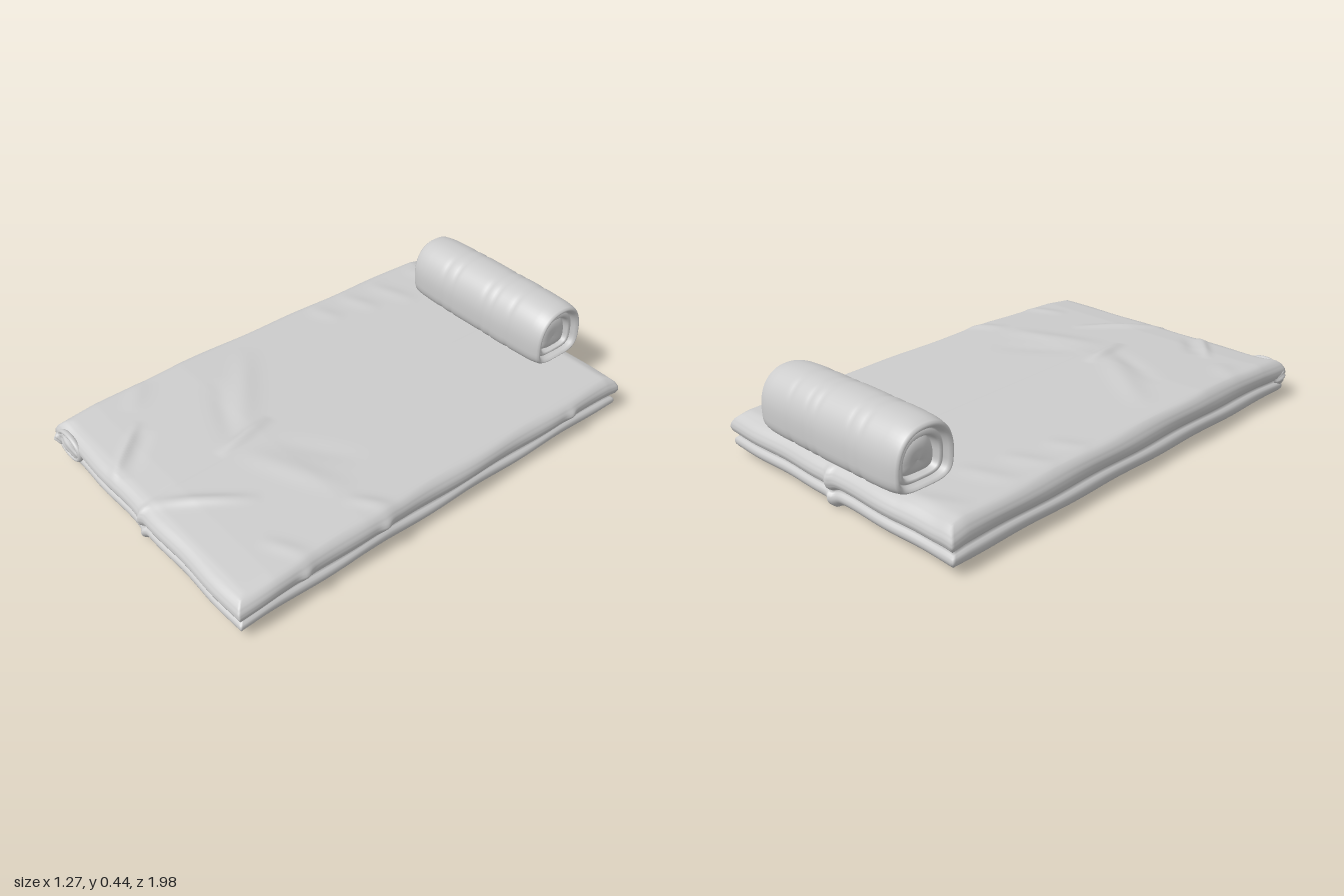
import * as THREE from 'three';
import { mergeVertices } from 'three/addons/utils/BufferGeometryUtils.js';

const fabric = new THREE.MeshStandardMaterial({ color: 0xcccccc });
fabric.name = 'greyFabric';

const bump = (v, centre, width) => Math.exp(-(((v - centre) / width) ** 2));

// Piecewise linear lookup through [key, value] pairs
function lookup(points, k) {
  if (k <= points[0][0]) return points[0][1];
  for (let i = 1; i < points.length; i++) {
    const [a, va] = points[i - 1], [b, vb] = points[i];
    if (k <= b) return va + (vb - va) * (k - a) / (b - a);
  }
  return points[points.length - 1][1];
}

// Fabric folds on the top: x1, z1, x2, z2, width, height
const folds = [
  [-0.52, 0.12, -0.05, 0.46, 0.05, 0.008],
  [-0.42, 0.34, -0.03, 0.52, 0.04, -0.006],
  [-0.07, 0.32, -0.02, 0.60, 0.025, 0.015],
  [0.00, 0.53, 0.46, 0.34, 0.05, 0.008],
  [0.02, 0.42, 0.36, 0.18, 0.05, -0.005],
  [0.46, 0.39, 0.64, 0.26, 0.03, 0.008],
  [-0.39, 0.72, -0.18, 0.97, 0.018, 0.013],
  [-0.32, 0.72, -0.15, 0.92, 0.03, -0.008],
  [0.27, 0.61, 0.00, 0.95, 0.025, 0.012],
  [0.42, 0.74, 0.62, 0.64, 0.03, 0.006],
  [-0.58, -0.84, -0.34, -0.94, 0.04, 0.006],
  [-0.58, -0.61, -0.32, -0.70, 0.04, 0.006],
  [-0.59, -0.44, -0.38, -0.53, 0.04, 0.006],
  [-0.59, -0.27, -0.42, -0.35, 0.04, 0.005],
  [-0.59, 0.58, -0.46, 0.72, 0.04, 0.005],
];

// Each fold fades out towards its two ends
function foldHeight(x, z) {
  let h = 0;
  for (const [x1, z1, x2, z2, width, height] of folds) {
    const dx = x2 - x1, dz = z2 - z1;
    const t = THREE.MathUtils.clamp(((x - x1) * dx + (z - z1) * dz) / (dx * dx + dz * dz), 0, 1);
    h += height * Math.sin(Math.PI * t) * bump(Math.hypot(x - x1 - t * dx, z - z1 - t * dz), 0, width);
  }
  return h;
}

// Mattress: a fine box whose sides swell into two padded layers
function makeMattress() {
  const halfX = 0.61, halfZ = 0.955;
  const sideProfile = [
    [0, -0.02], [0.08, -0.006], [0.17, 0.003], [0.25, 0.005], [0.33, 0.002], [0.375, -0.006], [0.417, -0.014],
    [0.46, -0.006], [0.54, 0.006], [0.67, 0.013], [0.79, 0.011], [0.92, 0], [1, -0.016],
  ];
  const topProfile = [[-0.97, 0.165], [-0.9, 0.18], [-0.6, 0.185], [0, 0.192], [0.4, 0.197], [0.8, 0.183], [0.97, 0.165]];
  let geo = new THREE.BoxGeometry(2, 1, 2, 120, 24, 180);
  geo.deleteAttribute('uv');
  geo.deleteAttribute('normal');
  geo = mergeVertices(geo);
  const pos = geo.attributes.position;
  for (let i = 0; i < pos.count; i++) {
    const u = pos.getX(i), t = pos.getY(i) + 0.5, w = pos.getZ(i);
    const out = lookup(sideProfile, t);
    let x = u * (halfX + out), z = w * (halfZ + out);
    // Stitched tuck in the middle of the ends, soft side ripples and puckers on the left
    if (Math.abs(w) > 0.999) z += Math.sign(w) * (0.012 * bump(x, 0.01, 0.012) + 0.003 * Math.sin(x * 17));
    if (Math.abs(u) > 0.999) x += Math.sign(u) * 0.003 * Math.sin(z * 13 + t * 4);
    if (u > 0.999) for (const p of [-0.67, 0.32, 0.68]) x += 0.012 * bump(z, p, 0.025) * bump(t, 0.68, 0.15);
    if (u < 0) x -= 0.008 * -u * (1 - w) / 2;
    if (w < 0) z -= 0.008 * w * w * (1 - u) / 2;
    const edge = Math.min(1, (1 - Math.abs(u)) / 0.04, (1 - Math.abs(w)) / 0.03);
    const top = lookup(topProfile, z) + foldHeight(x, z) - 0.006 * (1 - edge)
      + 0.008 * bump(x, -0.59, 0.05) - 0.002 * bump(x, 0, 0.008);
    // The underside has a centre seam that hangs lowest at both ends
    const bottom = 0.02 - 0.006 * edge - 0.004 * bump(x, 0, 0.012) - 0.014 * bump(x, 0, 0.025) * bump(Math.abs(w), 1, 0.02)
      + 0.003 * Math.sin(x * 6) * Math.sin(z * 9) * edge;
    pos.setXYZ(i, x, bottom + (top - bottom) * t, z);
  }
  geo.computeVertexNormals();
  return new THREE.Mesh(geo, fabric);
}

// Bolster: arched section lofted along x, with sunken end panels
function makeBolster() {
  const sides = 56;
  const end = [[0.335, 0.01], [0.337, 0.25], [0.336, 0.44], [0.326, 0.5], [0.324, 0.54], [0.345, 0.57],
    [0.352, 0.63], [0.345, 0.7], [0.343, 0.73], [0.36, 0.77], [0.371, 0.83], [0.37, 0.88], [0.362, 0.92], [0.34, 0.955]];
  const stations = end.map(([x, s]) => [-x, s]);
  for (let i = 0; i <= 64; i++) {
    const x = -0.32 + i * 0.01;
    const creases = 0.022 * (bump(x, -0.2, 0.012) + bump(x, -0.14, 0.01) + bump(x, 0.04, 0.012)
      + bump(x, 0.09, 0.01) + bump(x, 0.19, 0.012));
    stations.push([x, 1.005 - 0.03 * (x / 0.32) ** 4 - creases]);
  }
  stations.push(...end.slice().reverse());
  const verts = [], index = [];
  stations.forEach(([x, s], row) => {
    for (let k = 0; k < sides; k++) {
      const a = k / sides * Math.PI * 2, c = Math.cos(a), d = Math.sin(a);
      const p = d > 0 ? 0.88 : 0.55;
      const z = 0.138 * Math.sign(c) * Math.abs(c) ** p;
      const y = (d > 0 ? 0.16 : 0.1) * Math.sign(d) * Math.abs(d) ** p;
      const ripple = s > 0.9 ? 0.003 * Math.sin(x * 23 + a * 2) : 0;
      const lean = x < -0.3 ? -0.02 * THREE.MathUtils.smoothstep(-x, 0.3, 0.36) * (0.7 + y * 3) : 0;
      verts.push(x + lean, 0.277 + y * (s + ripple), -0.855 + z * (s + ripple));
      if (row) {
        const k2 = (k + 1) % sides, p0 = (row - 1) * sides, p1 = row * sides;
        index.push(p0 + k, p1 + k, p0 + k2, p0 + k2, p1 + k, p1 + k2);
      }
    }
  });
  const geo = new THREE.BufferGeometry();
  geo.setAttribute('position', new THREE.Float32BufferAttribute(verts, 3));
  // Close both ends
  const last = (stations.length - 1) * sides;
  for (let k = 1; k < sides - 1; k++) index.push(0, k, k + 1, last, last + k + 1, last + k);
  geo.setIndex(index);
  geo.computeVertexNormals();
  return new THREE.Mesh(geo, fabric);
}

// Crumpled lump of cloth, an uneven ellipsoid
function makeCrumple(rx, ry, rz, x, y, z, rough) {
  let geo = new THREE.SphereGeometry(1, 32, 20);
  geo.deleteAttribute('uv');
  geo.deleteAttribute('normal');
  geo = mergeVertices(geo);
  const pos = geo.attributes.position;
  for (let i = 0; i < pos.count; i++) {
    const a = pos.getX(i), b = pos.getY(i), c = pos.getZ(i);
    const s = 1 + rough * Math.sin(a * 5 + b * 3) * Math.cos(b * 6 - c * 3);
    pos.setXYZ(i, a * rx * s, b * ry * s, c * rz * s);
  }
  geo.computeVertexNormals();
  const mesh = new THREE.Mesh(geo, fabric);
  mesh.position.set(x, y, z);
  return mesh;
}

export function createModel() {
  const group = new THREE.Group();
  const add = (mesh, name) => { mesh.name = name; group.add(mesh); };
  add(makeMattress(), 'mattress');
  add(makeBolster(), 'bolsterPillow');

  // Bunched cloth at the front right corner, with a rolled hem around it
  add(makeCrumple(0.08, 0.045, 0.025, -0.525, 0.1, 0.953, 0.1), 'cornerBunch');
  add(makeCrumple(0.03, 0.035, 0.04, -0.6, 0.1, 0.945, 0.15), 'cornerTuck');
  const hem = new THREE.Mesh(new THREE.TorusGeometry(0.08, 0.012, 10, 40), fabric);
  hem.scale.y = 0.65;
  hem.position.set(-0.525, 0.105, 0.96);
  add(hem, 'cornerHem');
  return group;
}
